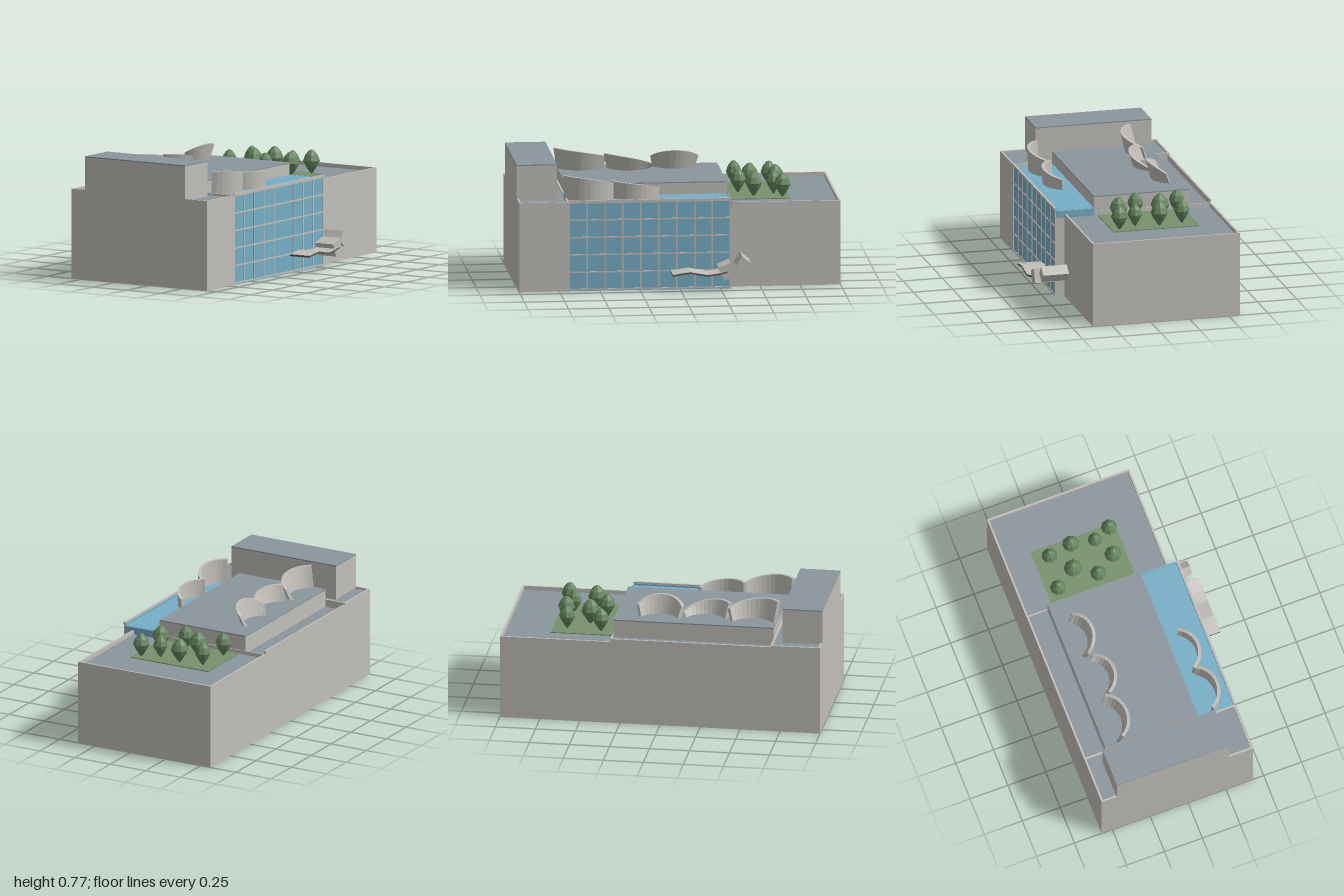
import * as THREE from 'three';

const mat = (name, color) => {
  const m = new THREE.MeshStandardMaterial({ color, side: THREE.DoubleSide });
  m.name = name;
  return m;
};

export function createModel() {
  const concrete = mat('concrete', 0xc2bfba);
  const roofing = mat('slate roofing', 0x8b959d);
  const glass = mat('blue glass', 0x76aec6);
  const grass = mat('lawn green', 0x78916c);
  const leaf = mat('tree green', 0x66865f);
  const dark = mat('dark underside', 0x5a5856);

  const model = new THREE.Group();
  model.name = 'building';
  const add = (name, geo, material, parent = model) => {
    const mesh = new THREE.Mesh(geo, material);
    mesh.name = name;
    parent.add(mesh);
    return mesh;
  };
  // Box given by its limits on each axis
  const block = (name, material, x0, x1, y0, y1, z0, z1, parent) => {
    const g = new THREE.BoxGeometry(x1 - x0, y1 - y0, z1 - z0);
    g.translate((x0 + x1) / 2, (y0 + y1) / 2, (z0 + z1) / 2);
    return add(name, g, material, parent);
  };
  const T = 0.012; // wall thickness

  // Front block: hollow shell, open below
  block('frontWall', concrete, -0.57, 0.43, 0, 0.56, 1 - T, 1);
  block('frontBlockLeftWall', concrete, 0.43 - T, 0.43, 0, 0.56, 0.69, 1 - T);
  block('frontBlockRightWall', concrete, -0.57, -0.57 + T, 0, 0.56, 0.69, 1 - T);
  block('frontPartition', concrete, -0.57 + T, 0.43 - T, 0, 0.56, 0.69, 0.69 + T);
  block('frontRoof', roofing, -0.57 + T, 0.43 - T, 0.54, 0.548, 0.69 + T, 1 - T);
  block('penthouse', concrete, -0.47, 0.27, 0.548, 0.763, 0.75, 1);
  block('penthouseRoof', roofing, -0.47, 0.27, 0.763, 0.77, 0.75, 1);

  // Back block with lowered roof
  block('backWall', concrete, -0.57, 0.37, 0, 0.53, -1, -1 + T);
  block('backBlockLeftWall', concrete, 0.37 - T, 0.37, 0, 0.53, -1 + T, -0.31);
  block('backBlockRightWall', concrete, -0.57, -0.57 + T, 0, 0.53, -1 + T, -0.31);
  block('backPartition', concrete, -0.57, 0.43, 0, 0.53, -0.318, -0.31);
  block('backRoof', roofing, -0.57 + T, 0.37 - T, 0.497, 0.505, -1 + T, -0.318);
  block('lawn', grass, -0.39, 0.16, 0.505, 0.51, -0.71, -0.33);

  // Middle hall: side strip, raised roof and glazed bay
  block('hallRightWall', concrete, -0.57, -0.57 + T, 0, 0.55, -0.31, 0.69);
  block('sideStripRoof', roofing, -0.57 + T, -0.43, 0.505, 0.513, -0.31, 0.69);
  block('innerWall', concrete, -0.43, -0.43 + T, 0, 0.62, -0.31, 0.69);
  block('raisedRoofBack', concrete, -0.43, 0.18, 0.49, 0.62, -0.312, -0.3);
  block('raisedRoofFront', concrete, -0.43, 0.18, 0.49, 0.62, 0.68, 0.69);
  block('raisedRoofSide', concrete, 0.18 - T, 0.18, 0.49, 0.62, -0.3, 0.68);
  block('raisedRoof', roofing, -0.43, 0.18, 0.62, 0.627, -0.312, 0.69);
  block('glassRoof', glass, 0.18, 0.42, 0.543, 0.55, -0.31, 0.69);
  block('glassEndBand', glass, 0.18, 0.42, 0.505, 0.55, -0.322, -0.313);
  block('glassWall', glass, 0.418, 0.426, 0, 0.56, -0.31, 0.69);
  block('glassCoping', concrete, 0.422, 0.435, 0.557, 0.57, -0.315, 0.695);

  // Mullion grid of nine by five panes
  const grid = new THREE.Group();
  grid.name = 'mullions';
  model.add(grid);
  for (let i = 0; i <= 9; i++) {
    const z = -0.31 + i / 9;
    block('verticalMullion', concrete, 0.424, 0.43, 0, 0.56, z - 0.0045, z + 0.0045, grid);
  }
  for (let j = 0; j <= 5; j++) {
    const y = 0.01 + j * 0.109;
    block('horizontalMullion', concrete, 0.424, 0.43, y - 0.0045, y + 0.0045, -0.31, 0.69, grid);
  }

  // Curved screen leaning outward; top edge follows three heights
  const screen = (name, x, zc, half, bulge, base, h, inset = 0.03) => {
    const n = 12, w = 0.02, pos = [], idx = [];
    for (let i = 0; i <= n; i++) {
      const t = (i / n) * 2 - 1;
      const a = t * 1.1, s = Math.sin(1.1), c = Math.cos(1.1);
      const u = Math.sin(a) / s, v = (Math.cos(a) - c) / (1 - c);
      const top = h[1] + ((h[2] - h[0]) / 2) * t + ((h[0] + h[2]) / 2 - h[1]) * t * t;
      const nx = Math.cos(a) * w, nz = Math.sin(a) * w;
      const px = x + bulge * v, pz = zc + half * u;
      const bx = px - inset, bz = zc + half * u * 0.87;
      pos.push(px, top, pz, px - nx, top, pz - nz, bx - nx, base, bz - nz, bx, base, bz);
      if (i < n) {
        for (let k = 0; k < 4; k++) {
          const p = i * 4 + k, q = i * 4 + ((k + 1) % 4);
          idx.push(p, q, p + 4, q, q + 4, p + 4);
        }
      }
    }
    const e = n * 4;
    idx.push(0, 2, 1, 0, 3, 2, e, e + 1, e + 2, e, e + 2, e + 3);
    let g = new THREE.BufferGeometry();
    g.setAttribute('position', new THREE.Float32BufferAttribute(pos, 3));
    g.setIndex(idx);
    g = g.toNonIndexed();
    g.computeVertexNormals();
    add(name, g, concrete);
  };
  screen('roofScreenBack', -0.315, -0.035, 0.15, 0.085, 0.62, [0.695, 0.745, 0.7]);
  screen('roofScreenMiddle', -0.285, 0.25, 0.155, 0.09, 0.62, [0.65, 0.71, 0.725]);
  screen('roofScreenFront', -0.315, 0.55, 0.165, 0.09, 0.62, [0.7, 0.745, 0.76]);
  screen('baySreenMiddle'.replace('Sreen', 'Screen'), 0.27, 0.265, 0.15, 0.085, 0.06, [0.615, 0.65, 0.66]);
  screen('bayScreenFront', 0.28, 0.555, 0.16, 0.09, 0.06, [0.65, 0.69, 0.7]);
  screen('bayScreenInside', 0.27, -0.05, 0.14, 0.085, 0.06, [0.5, 0.52, 0.5]);

  // Prism along x from a (z, y) outline
  const prism = (name, pts, x0, x1, material) => {
    const g = new THREE.ExtrudeGeometry(
      new THREE.Shape(pts.map(([z, y]) => new THREE.Vector2(-z, y))),
      { depth: x1 - x0, bevelEnabled: false });
    g.rotateY(Math.PI / 2);
    g.translate(x0, 0, 0);
    add(name, g, material);
  };
  // Entrance: tilted boxes and a wavy canopy
  prism('entranceBoxLarge', [[-0.225, 0.155], [-0.3, 0.187], [-0.33, 0.1], [-0.257, 0.075]], 0.37, 0.56, concrete);
  prism('entranceBoxSmall', [[-0.375, 0.22], [-0.43, 0.175], [-0.39, 0.122], [-0.337, 0.16]], 0.37, 0.535, concrete);
  const wave = [[0.06, 0.116], [0, 0.126], [-0.05, 0.132], [-0.1, 0.122], [-0.16, 0.112], [-0.22, 0.12], [-0.28, 0.135]];
  const layer = (a, b) => [...wave.map(([z, y]) => [z, y + a]), ...wave.map(([z, y]) => [z, y + b]).reverse()];
  prism('canopySlab', layer(-0.01, 0), 0.426, 0.57, dark);
  prism('canopyTop', layer(0, 0.003), 0.426, 0.57, concrete);

  // Faceted trees on the lawn: x, z, radius
  const profile = [[0, 0], [0.2, 0.01], [0.75, 0.055], [1, 0.085], [0.75, 0.12], [0.3, 0.148], [0, 0.155]];
  const trees = [
    [-0.3, -0.62, 0.05], [-0.15, -0.645, 0.055], [0, -0.62, 0.046], [0.11, -0.665, 0.052],
    [-0.195, -0.49, 0.058], [0.07, -0.49, 0.055], [-0.325, -0.405, 0.051], [-0.06, -0.405, 0.051],
  ];
  trees.forEach(([x, z, r], i) => {
    const lathe = new THREE.LatheGeometry(
      profile.map(([a, y]) => new THREE.Vector2(a * r, y * (0.55 + r * 8.5))), 8);
    const g = lathe.toNonIndexed();
    g.computeVertexNormals();
    const tree = add('tree', g, leaf);
    tree.position.set(x, 0.508, z);
    tree.rotation.y = i * 0.7;
  });

  return model;
}
